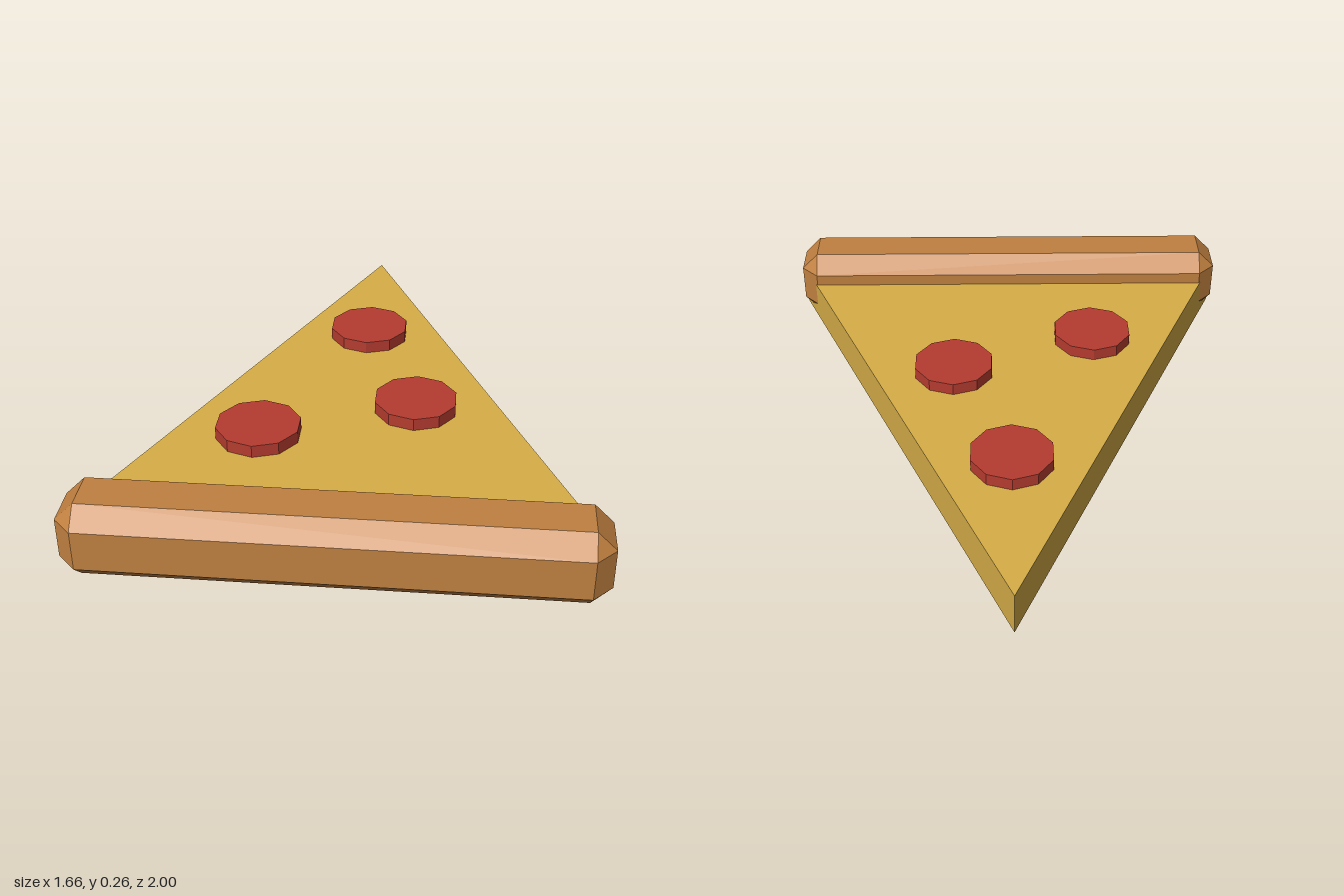
import * as THREE from 'three';
import { ConvexGeometry } from 'three/addons/geometries/ConvexGeometry.js';

const flat = (name, color) => {
  const m = new THREE.MeshStandardMaterial({ color, flatShading: true });
  m.name = name;
  return m;
};

// Box with every edge cut at 45 degrees and triangular corners
function chamferedBox(w, h, d, c) {
  const points = [];
  for (const sx of [-1, 1]) for (const sy of [-1, 1]) for (const sz of [-1, 1]) {
    for (let axis = 0; axis < 3; axis++) {
      const p = [w, h, d].map((size, i) => size / 2 - (i === axis ? 0 : c));
      points.push(new THREE.Vector3(sx * p[0], sy * p[1], sz * p[2]));
    }
  }
  return new ConvexGeometry(points);
}

export function createModel() {
  const group = new THREE.Group();
  group.name = 'pizzaSlice';
  const cheeseColour = flat('cheese yellow', 0xd8ae48);
  const crustColour = flat('crust brown', 0xc08040);
  const pepperoniColour = flat('pepperoni red', 0xb53c30);

  const add = (name, geometry, material, x, y, z) => {
    const mesh = new THREE.Mesh(geometry, material);
    mesh.name = name;
    mesh.position.set(x, y, z);
    group.add(mesh);
  };

  // Triangular slice, tip pointing back
  const thickness = 0.155;
  const outline = new THREE.Shape([
    new THREE.Vector2(-0.83, -0.87),
    new THREE.Vector2(0.83, -0.87),
    new THREE.Vector2(0, 1),
  ]);
  const slice = new THREE.ExtrudeGeometry(outline, { depth: thickness, bevelEnabled: false });
  slice.rotateX(-Math.PI / 2);
  add('cheeseSlice', slice, cheeseColour, 0, 0, 0);

  // Chamfered crust bar along the front
  add('crust', chamferedBox(1.66, 0.26, 0.26, 0.062), crustColour, 0, 0.13, 0.87);

  // Ten-sided pepperoni discs
  const disc = new THREE.CylinderGeometry(0.145, 0.145, 0.08, 10);
  [[0, -0.38], [0.205, 0.14], [-0.31, 0.35]].forEach(([x, z], i) => {
    add(`pepperoni${i + 1}`, disc, pepperoniColour, x, 0.158, z);
  });

  return group;
}
